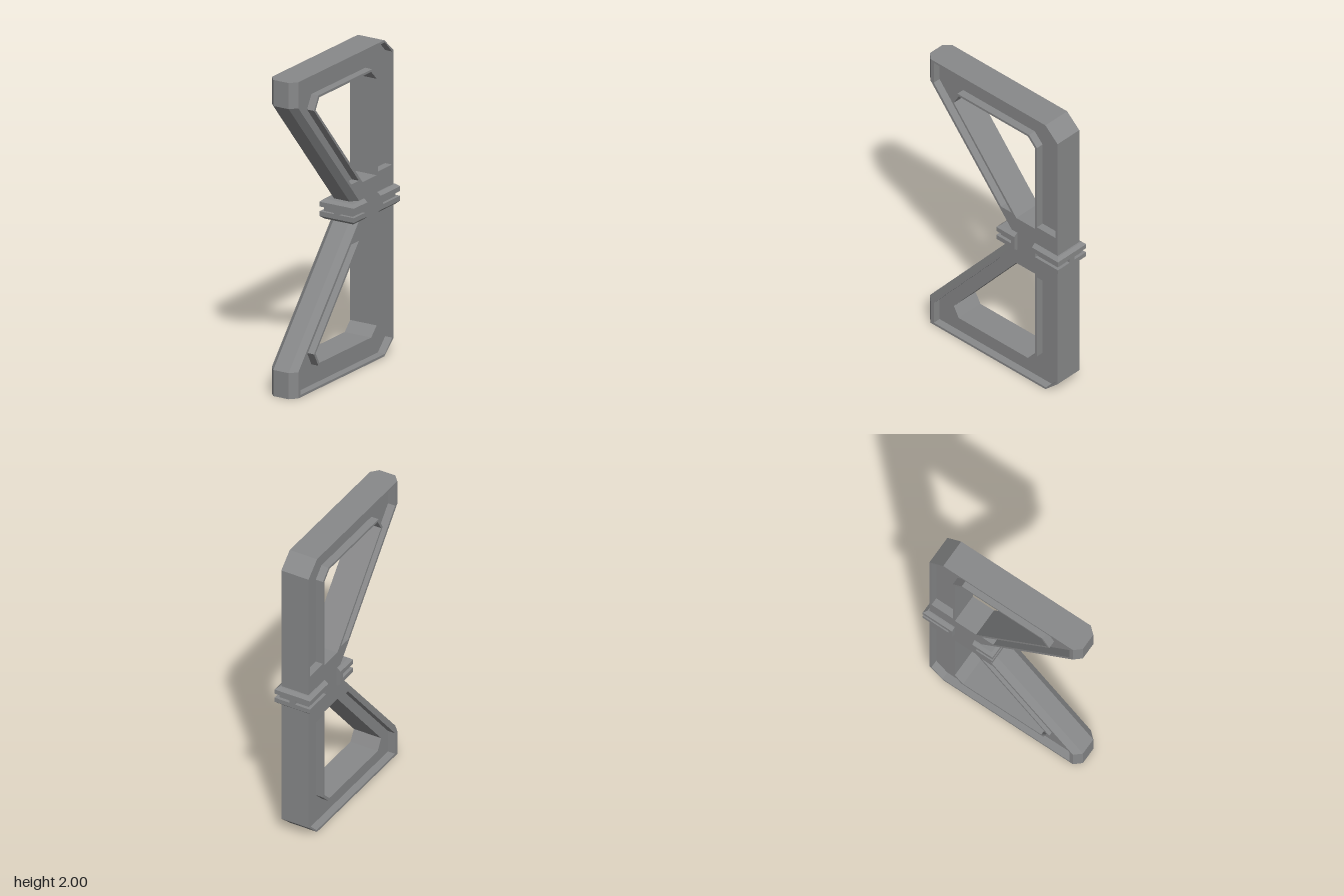
import * as THREE from 'three';

// Half-outlines are (z, y) points for the upper half; the lower half is mirrored about y = 1.
const FRONT = [[-0.11, 1.06], [0.56, 1.835], [0.56, 2]];
const BACK = [[-0.43, 2], [-0.53, 1.91]];
const WINDOW = [[0.285, 1.84], [-0.285, 1.84], [-0.345, 1.78], [-0.345, 1.17], [-0.19, 1.17], [0.325, 1.77]];
const CHANNEL = [
  [0.49, 1.985], [-0.435, 1.985], [-0.515, 1.905], [-0.515, 1.19], [-0.36, 1.19], [-0.36, 1.79],
  [-0.295, 1.855], [0.295, 1.855], [0.343, 1.77], [-0.15, 1.19], [-0.065, 1.19], [0.49, 1.835],
];

const flip = (pts) => pts.map(([z, y]) => [z, 2 - y]).reverse();
const vectors = (pts) => pts.map(([z, y]) => new THREE.Vector2(z, y));

// z of the front edge at a given height
function frontEdge(y) {
  const h = Math.abs(y - 1);
  if (h >= 0.834) return 0.56;
  return -0.11 + Math.max(0, h - 0.06) * (0.67 / 0.775);
}

// One slice of the frame between two distances from the centre plane
function frameLayer(from, to, withChannel, frontBevel) {
  const half = [...FRONT, ...BACK];
  const shape = new THREE.Shape(vectors([...half, ...flip(half)]));
  const holes = withChannel ? [WINDOW, CHANNEL] : [WINDOW];
  for (const hole of holes) {
    shape.holes.push(new THREE.Path(vectors(hole)), new THREE.Path(vectors(flip(hole))));
  }
  const geo = new THREE.ExtrudeGeometry(shape, { depth: to - from, bevelEnabled: false });
  geo.translate(0, 0, from);
  // Pull the outer front edge back to chamfer it
  const p = geo.attributes.position;
  for (let i = 0; i < p.count; i++) {
    const atFront = Math.abs(p.getX(i) - frontEdge(p.getY(i))) < 0.003;
    if (atFront && p.getZ(i) > to - 0.001) p.setX(i, p.getX(i) - frontBevel);
  }
  geo.rotateY(-Math.PI / 2);
  geo.computeVertexNormals();
  return geo;
}

// Stack of rectangles: bevelled at top and bottom, grooved around the middle.
// The inner end (z = 0) stays flush, the outer end reaches z = length.
function clampGeometry(length) {
  const rings = [
    [0.937, 0.02], [0.955, 0], [0.985, 0], [0.985, 0.02],
    [1.015, 0.02], [1.015, 0], [1.045, 0], [1.063, 0.02],
  ];
  const verts = [];
  const corners = ([y, inset]) => {
    const x = 0.123 - inset, z = length - inset;
    return [[-x, y, z], [x, y, z], [x, y, 0], [-x, y, 0]];
  };
  const quad = (a, b, c, d) => verts.push(...a, ...b, ...c, ...a, ...c, ...d);
  for (let r = 0; r < rings.length - 1; r++) {
    const lo = corners(rings[r]), hi = corners(rings[r + 1]);
    for (let i = 0; i < 4; i++) {
      const j = (i + 1) % 4;
      quad(lo[i], lo[j], hi[j], hi[i]);
    }
  }
  const bottom = corners(rings[0]), top = corners(rings[rings.length - 1]);
  quad(top[0], top[1], top[2], top[3]);
  quad(bottom[3], bottom[2], bottom[1], bottom[0]);
  const geo = new THREE.BufferGeometry();
  geo.setAttribute('position', new THREE.Float32BufferAttribute(verts, 3));
  geo.computeVertexNormals();
  return geo;
}

export function createModel() {
  const model = new THREE.Group();
  const grey = new THREE.MeshStandardMaterial({ color: 0x88898a });
  grey.name = 'metal grey';

  const add = (parent, name, geo) => {
    const mesh = new THREE.Mesh(geo, grey);
    mesh.name = name;
    parent.add(mesh);
    return mesh;
  };

  // Frame: web in the middle, channelled rims on both sides
  const frame = new THREE.Group();
  frame.name = 'frame';
  model.add(frame);
  add(frame, 'web', frameLayer(-0.045, 0.045, false, 0));
  const rimBase = frameLayer(0.045, 0.055, true, 0);
  const rimEdge = frameLayer(0.055, 0.095, true, 0.045);
  for (const side of [-1, 1]) {
    const rim = new THREE.Group();
    rim.name = side < 0 ? 'rightRim' : 'leftRim';
    add(rim, 'rimBase', rimBase);
    add(rim, 'rimEdge', rimEdge);
    if (side > 0) {
      // Half turn about the waist gives the opposite side
      rim.rotation.z = Math.PI;
      rim.position.y = 2;
    }
    frame.add(rim);
  }

  // Grooved clamps around the waist, front and back
  const clamps = [
    { name: 'frontClamp', length: 0.148, z: -0.2, turn: 0 },
    { name: 'backClamp', length: 0.215, z: -0.345, turn: Math.PI },
  ];
  for (const { name, length, z, turn } of clamps) {
    const clamp = new THREE.Group();
    clamp.name = name;
    add(clamp, 'clampBody', clampGeometry(length));
    // Bridges interrupting the groove at the middle and at the inner ends
    add(clamp, 'middleBridge', new THREE.BoxGeometry(0.04, 0.03, 0.03)).position.set(0, 1, length - 0.015);
    for (const s of [-1, 1]) {
      add(clamp, 'endBridge', new THREE.BoxGeometry(0.03, 0.03, 0.026)).position.set(s * 0.108, 1, 0.013);
    }
    clamp.position.z = z;
    clamp.rotation.y = turn;
    model.add(clamp);
  }

  return model;
}
